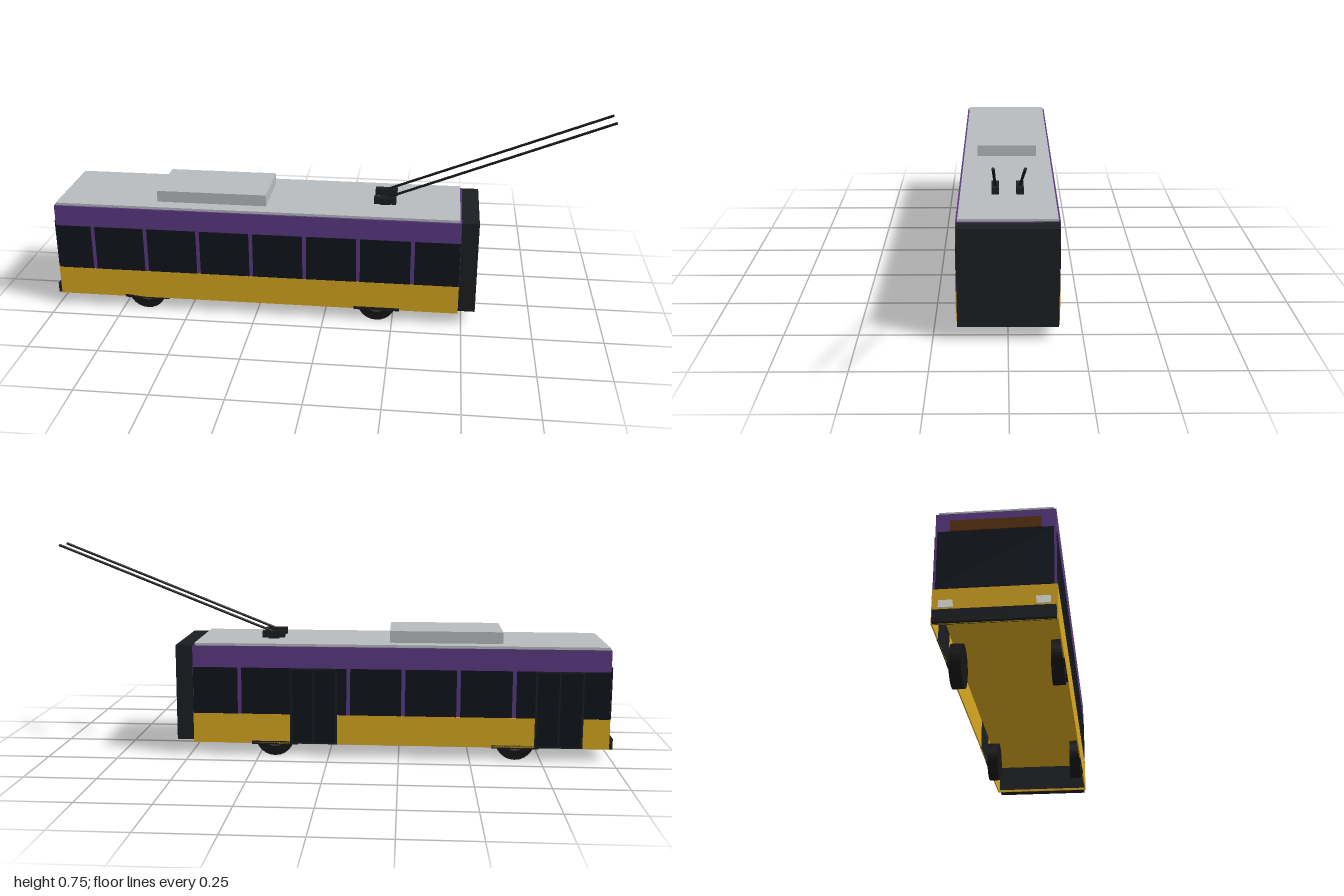
import * as THREE from 'three';

const material = (color) => new THREE.MeshStandardMaterial({ color });
const yellow = material(0xd9a820);
const purple = material(0x5c3a85);
const glass = material(0x0f151c);
const black = material(0x1c1e20);
const grey = material(0xb8bcbe);
const rubber = material(0x151515);
const hubGrey = material(0x444648);
const amber = material(0x5a3208);
const white = material(0xf0f0e8);

// Box given by its lower and upper bounds on each axis
function box(name, mat, [x0, x1], [y0, y1], [z0, z1]) {
  const mesh = new THREE.Mesh(new THREE.BoxGeometry(x1 - x0, y1 - y0, z1 - z0), mat);
  mesh.position.set((x0 + x1) / 2, (y0 + y1) / 2, (z0 + z1) / 2);
  mesh.name = name;
  return mesh;
}

// Flat-ended cylinder lying along z
function disc(name, mat, radius, depth, x, y, z) {
  const mesh = new THREE.Mesh(new THREE.CylinderGeometry(radius, radius, depth, 24), mat);
  mesh.rotation.x = Math.PI / 2;
  mesh.position.set(x, y, z);
  mesh.name = name;
  return mesh;
}

const FRONT = -0.985, REAR = 0.487, HALF = 0.172;
const BOTTOM = 0.045, SILL = 0.152, HEAD = 0.32, TOP = 0.397;

export function createModel() {
  const bus = new THREE.Group();
  bus.name = 'trolleybus';
  const add = (...args) => bus.add(box(...args));

  // Upper body, and a lower skirt left open underneath
  add('upperBody', purple, [FRONT, REAR], [SILL, TOP], [-HALF, HALF]);
  add('floor', yellow, [FRONT, REAR], [SILL - 0.006, SILL], [-HALF, HALF]);
  for (const s of [-1, 1]) {
    const z = [s * HALF - 0.002, s * HALF + 0.002];
    add('sideSkirt', yellow, [FRONT - 0.002, REAR], [BOTTOM, SILL], z);
  }
  add('frontSkirt', yellow, [FRONT - 0.003, FRONT + 0.002], [BOTTOM, SILL], [-HALF, HALF]);
  add('rearSkirt', yellow, [REAR - 0.004, REAR], [BOTTOM, SILL], [-HALF, HALF]);

  // Side windows separated by narrow pillars
  const pillars = Array.from({ length: 7 }, (_, i) => -0.848 + i * 0.1945);
  const edges = [FRONT - 0.006, ...pillars, REAR + 0.006];
  for (const s of [-1, 1]) {
    for (let i = 0; i < edges.length - 1; i++) {
      add('sideWindow', glass, [edges[i] + 0.007, edges[i + 1] - 0.007], [SILL, HEAD],
        [s * HALF - 0.0015, s * HALF + 0.0015]);
    }
  }

  // Two double doors on the boarding side
  for (const x of [-0.811, 0.054]) {
    const door = new THREE.Group();
    door.name = 'door';
    door.add(box('doorFrame', black, [x - 0.084, x + 0.084], [BOTTOM, HEAD], [-HALF - 0.0025, -HALF + 0.003]));
    for (const s of [-1, 1]) {
      door.add(box('doorLeaf', glass, [x + s * 0.04 - 0.037, x + s * 0.04 + 0.037],
        [BOTTOM + 0.006, HEAD - 0.006], [-HALF - 0.0035, -HALF]));
    }
    bus.add(door);
  }

  // Front end: windscreen, destination panel, lamps and bumper
  add('windscreen', glass, [FRONT - 0.006, FRONT], [SILL, 0.335], [-0.165, 0.165]);
  add('destinationPanel', amber, [FRONT - 0.005, FRONT], [0.338, 0.372], [-0.13, 0.13]);
  for (const s of [-1, 1]) {
    add('headlight', white, [FRONT - 0.008, FRONT + 0.006], [0.093, 0.115], [s * 0.135 - 0.02, s * 0.135 + 0.02]);
  }
  add('bumper', black, [-1, FRONT + 0.004], [BOTTOM, 0.083], [-0.17, 0.17]);

  // Rear equipment housing
  add('rearHousing', black, [REAR - 0.005, 0.548], [0.053, TOP], [-0.168, 0.168]);

  // Roof and its equipment box
  add('roof', grey, [-0.98, 0.48], [TOP - 0.002, 0.406], [-0.165, 0.165]);
  add('roofUnit', grey, [-0.615, -0.215], [0.404, 0.448], [-0.113, 0.113]);

  // Wheels with hubs, and the arch liners just showing below the skirt
  for (const x of [-0.66, 0.193]) {
    for (const s of [-1, 1]) {
      const wheel = new THREE.Group();
      wheel.name = 'wheel';
      wheel.add(disc('tyre', rubber, 0.069, 0.037, x, 0.069, s * 0.1515));
      wheel.add(disc('hub', hubGrey, 0.036, 0.002, x, 0.069, s * 0.1705));
      bus.add(wheel);
      add('archLiner', black, [x - 0.083, x + 0.083], [0.041, 0.053], [s * 0.171 - 0.003, s * 0.171 + 0.003]);
    }
  }

  // Current collector poles on their bases
  const start = new THREE.Vector3(0.2, 0.426, 0), end = new THREE.Vector3(0.998, 0.742, 0);
  for (const s of [-1, 1]) {
    const z = s * 0.043;
    add('poleBase', black, [0.17, 0.25], [0.41, 0.434], [z - 0.013, z + 0.013]);
    add('poleMount', black, [0.19, 0.23], [0.404, 0.412], [z - 0.008, z + 0.008]);
    const pole = new THREE.Mesh(new THREE.CylinderGeometry(0.0045, 0.0045, start.distanceTo(end), 10), rubber);
    pole.position.copy(start).lerp(end, 0.5).setZ(z);
    pole.quaternion.setFromUnitVectors(new THREE.Vector3(0, 1, 0), end.clone().sub(start).normalize());
    pole.name = 'collectorPole';
    bus.add(pole);
  }
  return bus;
}
